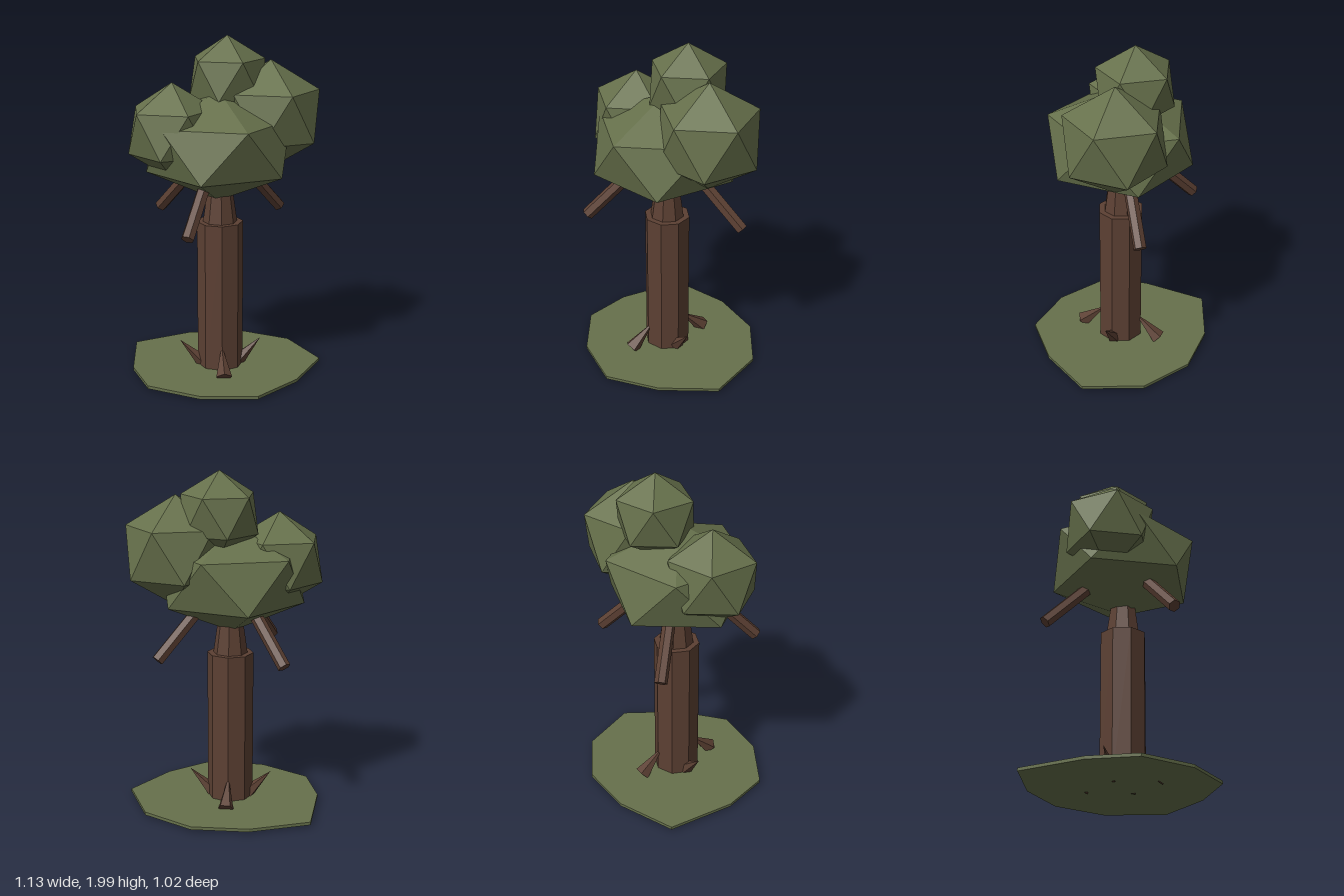
import * as THREE from 'three';

const mat = (name, color) => {
  const m = new THREE.MeshStandardMaterial({ color, flatShading: true });
  m.name = name;
  return m;
};

export function createModel() {
  const bark = mat('bark', 0x5c4033);
  const leaf = mat('leaf', 0x66704b);
  const tree = new THREE.Group();
  tree.name = 'tree';

  const add = (name, geometry, material, x = 0, y = 0, z = 0) => {
    const mesh = new THREE.Mesh(geometry, material);
    mesh.name = name;
    mesh.position.set(x, y, z);
    tree.add(mesh);
    return mesh;
  };

  // Tapered rod running from one point to another
  const rod = (name, from, to, r0, r1, sides) => {
    const a = new THREE.Vector3(...from), b = new THREE.Vector3(...to);
    const dir = b.clone().sub(a);
    const mesh = add(name, new THREE.CylinderGeometry(r1, r0, dir.length(), sides), bark);
    mesh.position.copy(a).add(b).multiplyScalar(0.5);
    mesh.quaternion.setFromUnitVectors(new THREE.Vector3(0, 1, 0), dir.normalize());
  };

  // Thin irregular ground plate
  const outline = [
    [0.565, -0.01], [0.38, 0.295], [0.13, 0.51], [-0.2, 0.48], [-0.485, 0.31],
    [-0.565, 0.03], [-0.54, -0.375], [-0.2, -0.51], [0.13, -0.515], [0.42, -0.345],
  ];
  const plate = new THREE.Shape(outline.map(([x, z]) => new THREE.Vector2(x, -z)));
  const ground = new THREE.ExtrudeGeometry(plate, { depth: 0.018, bevelEnabled: false });
  ground.rotateX(-Math.PI / 2);
  add('ground', ground, leaf, 0, 0.026, 0);

  // Trunk in two stages
  const cx = -0.04, cz = -0.005;
  add('trunk', new THREE.CylinderGeometry(0.135, 0.135, 0.9, 8), bark, cx, 0.48, cz);
  add('upperTrunk', new THREE.CylinderGeometry(0.055, 0.1, 0.32, 8), bark, cx, 1.09, cz);

  // Root spikes: side ones point outward, front and back ones lean into the trunk
  for (const s of [1, -1]) {
    rod('sideRoot', [cx + s * 0.1, 0.05, cz], [cx + s * 0.242, 0.195, cz], 0.045, 0, 5);
    rod('endRoot', [cx, 0.05, cz + s * 0.25], [cx, 0.19, cz + s * 0.1], 0.048, 0, 5);
  }

  // Drooping branches
  for (const [x, z] of [[-0.255, 0.41], [-0.375, -0.335], [0.345, -0.28]]) {
    const k = 0.25;
    rod('branch', [cx + (x - cx) * k, 1.3, cz + (z - cz) * k], [x, 0.943, z], 0.037, 0.037, 6);
  }

  // Leaf masses: faceted balls, each with a corner pointing up
  const crowns = [
    ['mainCrown', -0.05, 1.378, 0, 0.465, 0.322],
    ['leftCrown', 0.262, 1.54, -0.095, 0.32, 0.32],
    ['rightCrown', -0.315, 1.475, 0.04, 0.28, 0.28],
    ['topCrown', 0.012, 1.755, -0.11, 0.245, 0.245],
  ];
  for (const [name, x, y, z, r, h] of crowns) {
    const ball = new THREE.IcosahedronGeometry(1, 0);
    ball.rotateZ(-Math.atan(2 / (1 + Math.sqrt(5))));
    ball.scale(r, h, r);
    add(name, ball, leaf, x, y, z);
  }
  return tree;
}
